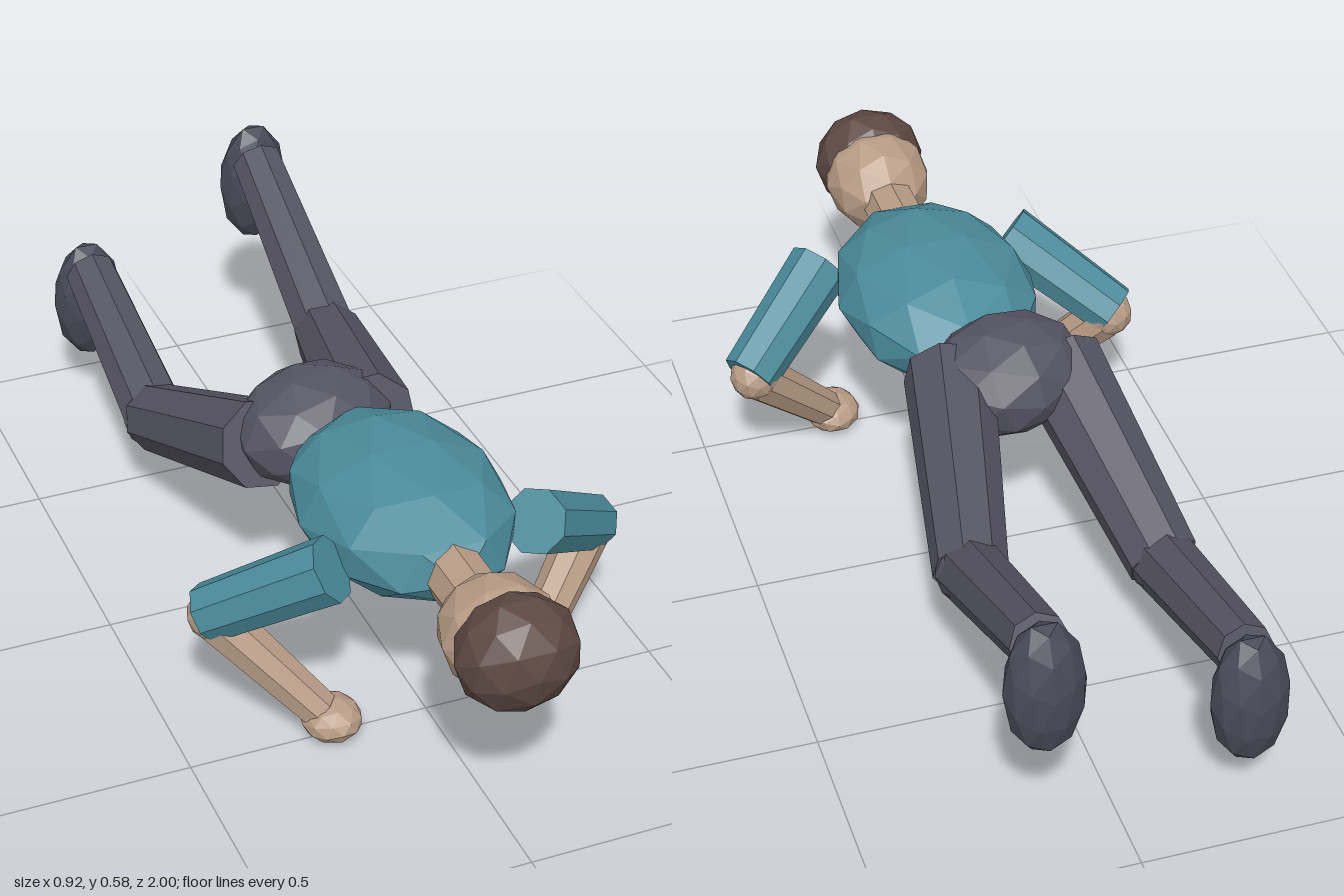
import * as THREE from 'three';

const mat = (name, color) => {
  const m = new THREE.MeshStandardMaterial({ color, flatShading: true });
  m.name = name;
  return m;
};

export function createModel() {
  const skin = mat('skin', 0xb89c86);
  const shirt = mat('teal shirt', 0x4b8b9b);
  const trousers = mat('grey trousers', 0x555462);
  const shoes = mat('dark shoes', 0x474a57);
  const hair = mat('brown hair', 0x5c4842);
  const eyes = mat('eyes', 0x40302c);

  const body = new THREE.Group();
  body.name = 'proneFigure';

  // Faceted ellipsoid with a pole on z
  const ball = (name, material, pos, radii, rot = [0, 0, 0]) => {
    const geo = new THREE.IcosahedronGeometry(1, 1);
    geo.rotateX(Math.atan(2 / (1 + Math.sqrt(5))));
    geo.scale(...radii);
    const mesh = new THREE.Mesh(geo, material);
    mesh.name = name;
    mesh.position.set(...pos);
    mesh.rotation.set(...rot);
    body.add(mesh);
  };

  // Tapered eight-sided limb from a to b
  const limb = (name, material, a, b, ra, rb) => {
    const from = new THREE.Vector3(...a), to = new THREE.Vector3(...b);
    const dir = to.clone().sub(from);
    const mesh = new THREE.Mesh(new THREE.CylinderGeometry(rb, ra, dir.length(), 8), material);
    mesh.name = name;
    mesh.position.copy(from).lerp(to, 0.5);
    mesh.quaternion.setFromUnitVectors(new THREE.Vector3(0, 1, 0), dir.normalize());
    body.add(mesh);
  };

  // Trunk
  ball('torso', shirt, [0, 0.415, 0.36], [0.215, 0.135, 0.3]);
  ball('hips', trousers, [-0.055, 0.415, 0.03], [0.175, 0.122, 0.145], [0, 0.28, 0]);

  // Head, facing down
  limb('neck', skin, [0, 0.415, 0.58], [0, 0.415, 0.76], 0.062, 0.06);
  ball('head', skin, [0, 0.418, 0.83], [0.118, 0.11, 0.14]);
  ball('hair', hair, [0, 0.428, 0.9], [0.125, 0.118, 0.1]);

  for (const s of [1, -1]) {
    const side = s > 0 ? 'left' : 'right';
    ball(side + 'Eye', eyes, [s * 0.042, 0.322, 0.845], [0.014, 0.009, 0.014]);

    // Arms, bent with the hands on the ground
    limb(side + 'UpperArm', shirt, [s * 0.213, 0.42, 0.525], [s * 0.415, 0.27, 0.375], 0.068, 0.06);
    ball(side + 'Elbow', skin, [s * 0.403, 0.265, 0.378], [0.053, 0.053, 0.053]);
    limb(side + 'Forearm', skin, [s * 0.395, 0.255, 0.385], [s * 0.225, 0.06, 0.49], 0.052, 0.042);
    ball(side + 'Hand', skin, [s * 0.205, 0.043, 0.502], [0.062, 0.042, 0.068]);
  }

  // Legs, each in its own kicking pose
  const legs = [
    { side: 'left', hip: [0.06, 0.42, 0.06], knee: [0.165, 0.313, -0.44], ankle: [0.175, 0.515, -0.9], shoe: [0.178, 0.445, -0.94] },
    { side: 'right', hip: [-0.175, 0.405, 0.05], knee: [-0.25, 0.213, -0.41], ankle: [-0.25, 0.34, -0.85], shoe: [-0.25, 0.255, -0.883] },
  ];
  for (const { side, hip, knee, ankle, shoe } of legs) {
    limb(side + 'Thigh', trousers, hip, knee, 0.095, 0.076);
    ball(side + 'Knee', trousers, knee, [0.072, 0.072, 0.072]);
    limb(side + 'Shin', trousers, knee, ankle, 0.07, 0.058);
    ball(side + 'Shoe', shoes, shoe, [0.08, 0.148, 0.06], [0.05, 0, 0]);
  }
  return body;
}
